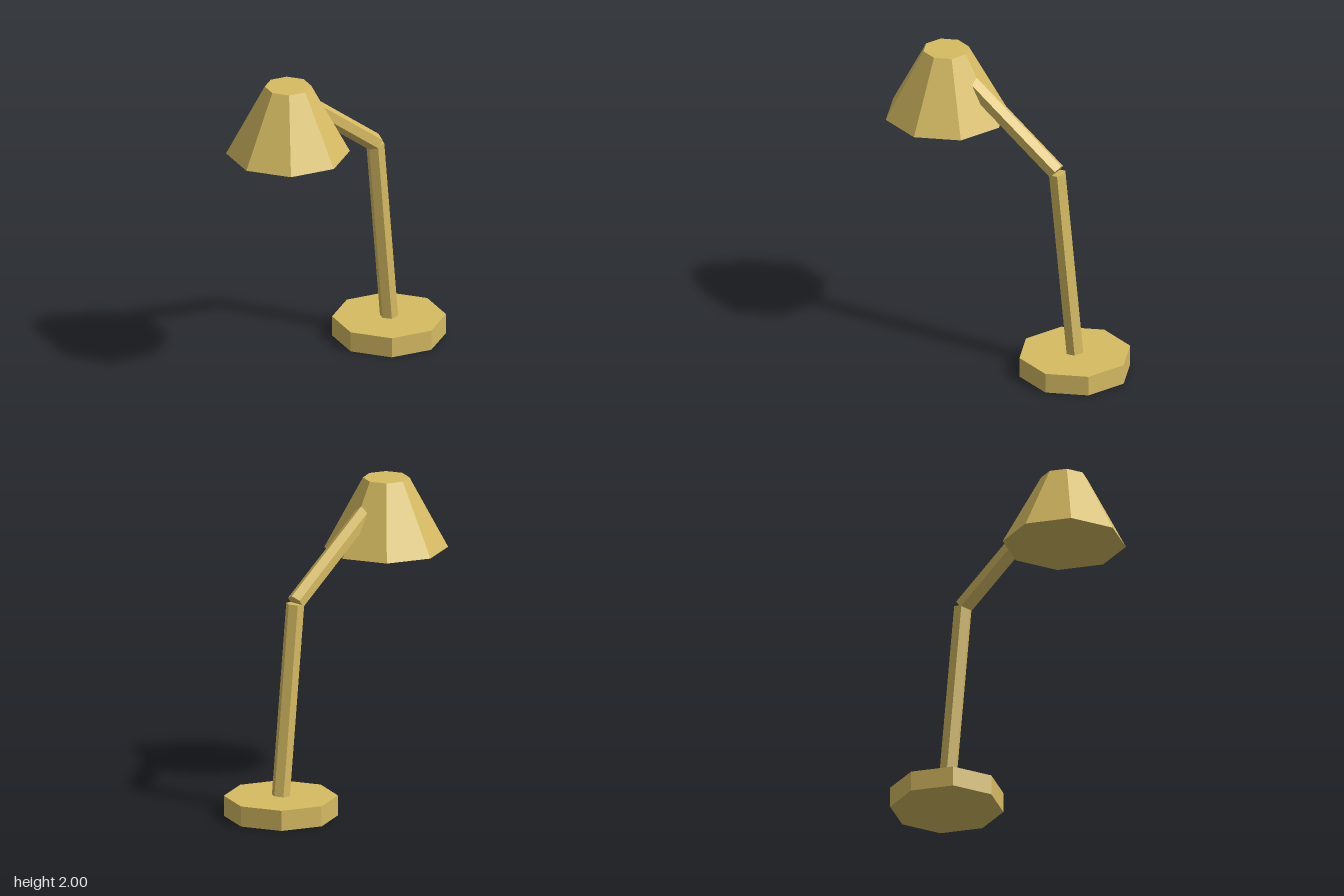
import * as THREE from 'three';

export function createModel() {
  const lamp = new THREE.Group();
  lamp.name = 'deskLamp';
  const brass = new THREE.MeshStandardMaterial({ color: 0xd6bb62 });
  brass.name = 'brass';

  // Faceted solid with one corner on +x
  function prism(name, topR, bottomR, height, sides) {
    const geometry = new THREE.CylinderGeometry(topR, bottomR, height, sides)
      .rotateY(Math.PI / 2)
      .toNonIndexed();
    geometry.computeVertexNormals();
    const mesh = new THREE.Mesh(geometry, brass);
    mesh.name = name;
    lamp.add(mesh);
    return mesh;
  }

  // Hexagonal rod between two points in the z = 0 plane
  function rod(name, x0, y0, x1, y1) {
    const dx = x1 - x0, dy = y1 - y0;
    const mesh = prism(name, 0.058, 0.058, Math.hypot(dx, dy), 6);
    mesh.position.set((x0 + x1) / 2, (y0 + y1) / 2, 0);
    mesh.rotation.z = Math.atan2(-dx, dy);
  }

  // Octagonal foot
  prism('base', 0.355, 0.355, 0.13, 8).position.set(0.483, 0.065, 0);

  // Leaning post and the arm that ends inside the shade
  rod('lowerArm', 0.483, 0.13, 0.355, 1.345);
  rod('upperArm', 0.351, 1.352, -0.3, 1.835);

  // Closed octagonal shade
  prism('shade', 0.145, 0.386, 0.45, 8).position.set(-0.454, 1.775, 0);

  return lamp;
}
